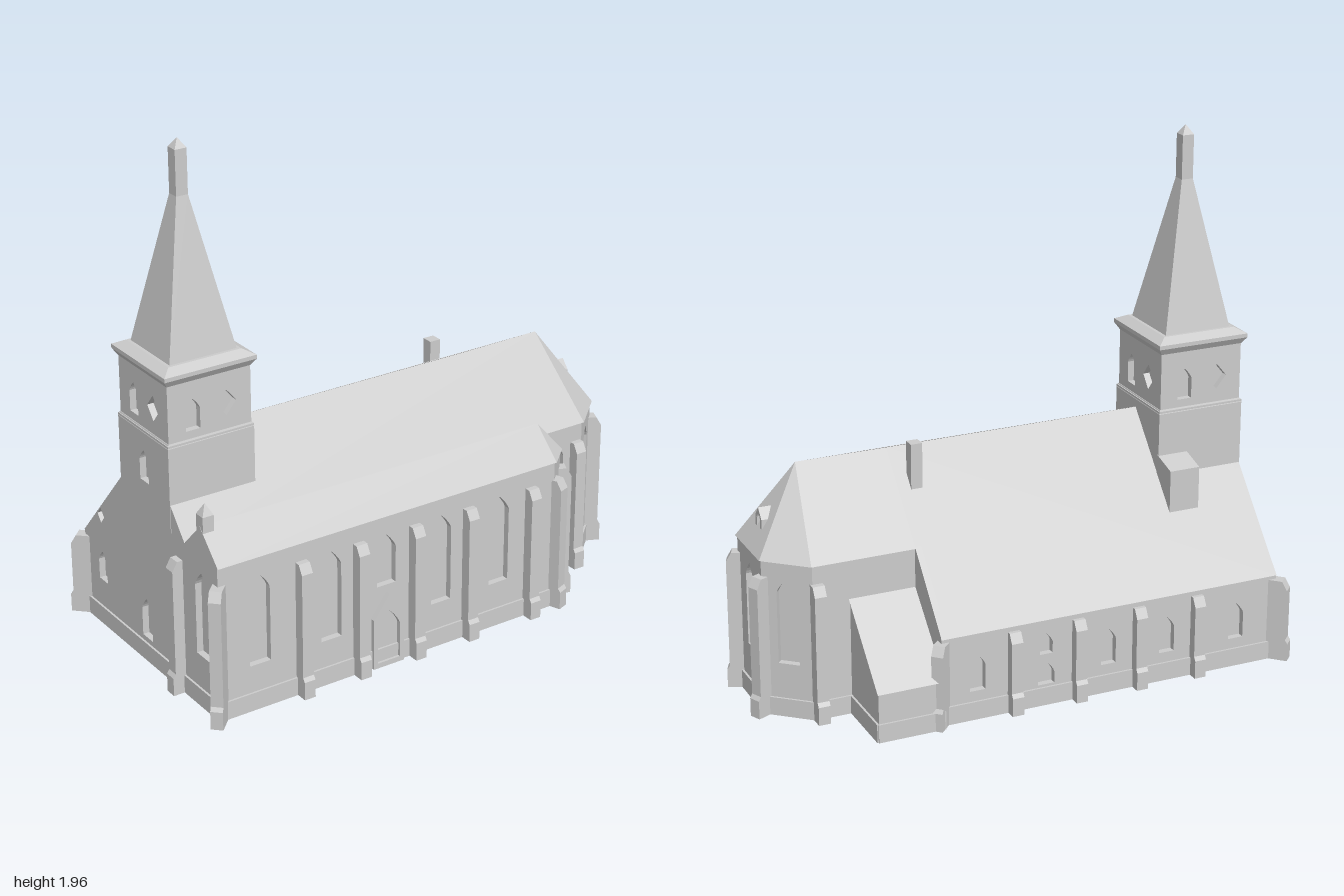
import * as THREE from 'three';

const stone = new THREE.MeshStandardMaterial({ color: 0xcccccc, flatShading: true, side: THREE.DoubleSide });
stone.name = 'pale stone';

// Pointed arch opening, or a diamond
function opening([u, y0, y1, w, kind]) {
  const p = new THREE.Path(), h = w / 2;
  if (kind === 'diamond') {
    const m = (y0 + y1) / 2;
    p.moveTo(u, y0).lineTo(u + h, m).lineTo(u, y1).lineTo(u - h, m).lineTo(u, y0);
    return p;
  }
  const spring = y1 - w * 0.7;
  p.moveTo(u - h, y0).lineTo(u + h, y0).lineTo(u + h, spring);
  p.quadraticCurveTo(u + h * 0.8, spring + w * 0.3, u, y1);
  p.quadraticCurveTo(u - h * 0.8, spring + w * 0.3, u - h, spring);
  p.lineTo(u - h, y0);
  return p;
}

export function createModel() {
  const model = new THREE.Group();
  model.name = 'church';

  const add = (name, geometry, parent = model) => {
    const mesh = new THREE.Mesh(geometry, stone);
    mesh.name = name;
    parent.add(mesh);
    return mesh;
  };

  // Wall from a to b (left to right seen from outside) with recessed openings
  function wall(name, a, b, { h = 0.6, y0 = 0, top, holes = [], t = 0.025, plinth = y0 === 0 } = {}) {
    const ux = b[0] - a[0], uz = b[1] - a[1], len = Math.hypot(ux, uz);
    const outline = [[0, y0], [len, y0], ...(top || [[len, h], [0, h]])].map(p => new THREE.Vector2(...p));
    const g = new THREE.Group();
    g.name = name;
    g.position.set(a[0], 0, a[1]);
    g.rotation.y = Math.atan2(-uz, ux);
    const shape = new THREE.Shape(outline);
    shape.holes = holes.map(opening);
    const geo = new THREE.ExtrudeGeometry(shape, { depth: t, bevelEnabled: false, curveSegments: 4 });
    add(name + 'Face', geo.translate(0, 0, -t), g);
    if (holes.length) add(name + 'Panes', new THREE.ShapeGeometry(new THREE.Shape(outline)).translate(0, 0, -t), g);
    if (plinth) add(name + 'Plinth', new THREE.BoxGeometry(len + 0.006, 0.07, 0.016).translate(len / 2, 0.035, 0), g);
    model.add(g);
  }

  // Flat polygons, each a fan of corners
  function faces(name, polygons) {
    const pos = [];
    for (const p of polygons)
      for (let i = 1; i < p.length - 1; i++) pos.push(...p[0], ...p[i], ...p[i + 1]);
    const geo = new THREE.BufferGeometry();
    geo.setAttribute('position', new THREE.Float32BufferAttribute(pos, 3));
    geo.computeVertexNormals();
    add(name, geo);
  }

  // Buttress with stepped foot and sloping cap, pointing along (dx, dz)
  function buttress(x, z, dx, dz, h = 0.525, d = 0.042) {
    const s = new THREE.Shape([[-0.03, 0], [d + 0.01, 0], [d + 0.01, 0.07], [d, 0.085], [d, h - 0.035], [d - 0.02, h], [-0.03, h]]
      .map(p => new THREE.Vector2(...p)));
    const m = add('buttress', new THREE.ExtrudeGeometry(s, { depth: 0.045, bevelEnabled: false }).translate(0, 0, -0.0225));
    m.position.set(x, 0, z);
    m.rotation.y = Math.atan2(-dz, dx);
  }

  // Square tapering block by half widths
  function taper(name, x, z, y0, y1, w0, w1) {
    const g = new THREE.CylinderGeometry(w1 * Math.SQRT2, w0 * Math.SQRT2, y1 - y0, 4).rotateY(Math.PI / 4);
    add(name, g).position.set(x, (y0 + y1) / 2, z);
  }

  // Nave walls
  const W = -0.945;
  wall('naveBackWall', [0.41, -0.48], [W, -0.48], {
    h: 0.34,
    holes: [
      ...[0.27, -0.25, -0.49, -0.78].map(x => [0.41 - x, 0.11, 0.25, 0.06]),
      [0.41, 0.08, 0.17, 0.065], [0.41, 0.2, 0.28, 0.05],
    ],
  });
  wall('naveEndWall', [W, -0.48], [W, 0.255], {
    top: [[0.735, 0.6], [0.645, 0.707], [0.3, 0.677], [0, 0.34]],
    holes: [[0.13, 0.18, 0.3, 0.06], [0.13, 0.42, 0.48, 0.05, 'diamond'], [0.45, 0.09, 0.25, 0.07]],
  });
  wall('naveStepWall', [0.41, -0.25], [0.41, -0.48], { top: [[0.23, 0.34], [0, 0.6]] });

  // Choir and its three-sided end
  const tall = u => [[u, 0.205, 0.535, 0.08]];
  wall('choirFrontWall', [0.45, 0.255], [0.8, 0.255], { holes: tall(0.225) });
  wall('apseFrontWall', [0.8, 0.255], [0.945, 0.125], { holes: tall(0.097) });
  wall('apseEndWall', [0.945, 0.125], [0.945, -0.125], { holes: tall(0.125) });
  wall('apseBackWall', [0.945, -0.125], [0.8, -0.25], { holes: tall(0.096) });
  wall('choirBackWall', [0.8, -0.25], [0.41, -0.25]);

  // Side aisle
  wall('aisleEndWall', [W, 0.255], [W, 0.47], {
    top: [[0.215, 0.6], [0.107, 0.71], [0, 0.6]], holes: [[0.107, 0.2, 0.53, 0.085]],
  });
  wall('aisleFrontWall', [W, 0.47], [0.5, 0.47], {
    holes: [...[-0.78, -0.485, -0.01, 0.25].map(x => [x - W, 0.175, 0.525, 0.085]), [-0.25 - W, 0.32, 0.52, 0.08]],
  });
  wall('aisleApseFront', [0.5, 0.47], [0.585, 0.395], { holes: [[0.057, 0.2, 0.5, 0.05]] });
  wall('aisleApseEnd', [0.585, 0.395], [0.585, 0.315], { holes: [[0.04, 0.2, 0.49, 0.05]] });
  wall('aisleApseBack', [0.585, 0.315], [0.5, 0.255]);
  wall('doorSurround', [-0.315, 0.488], [-0.185, 0.488], {
    top: [[0.13, 0.2], [0.065, 0.29], [0, 0.2]], holes: [[0.065, 0.02, 0.225, 0.095]], t: 0.03, plinth: false,
  });

  // Lean-to annex
  wall('annexEndWall', [0.66, -0.25], [0.66, -0.505], { top: [[0.255, 0.19], [0, 0.44]] });
  wall('annexBackWall', [0.66, -0.505], [0.41, -0.505], { h: 0.19 });
  wall('annexSideWall', [0.41, -0.505], [0.41, -0.25], { top: [[0.255, 0.44], [0, 0.19]], plinth: false });

  // Roofs
  const r0 = [W, 0.89, 0.01], r1 = [0.76, 0.89, 0.005];
  const e = [[0.805, 0.595, 0.262], [0.952, 0.595, 0.128], [0.952, 0.595, -0.128], [0.805, 0.595, -0.258]];
  faces('mainRoof', [
    [[W, 0.595, 0.262], e[0], r1, r0],
    [e[0], e[1], r1], [e[1], e[2], r1], [e[2], e[3], r1],
    [e[3], [0.41, 0.595, -0.258], [0.41, 0.89, 0.01], r1],
    [[0.41, 0.89, 0.01], [0.41, 0.335, -0.485], [W, 0.335, -0.485], r0],
  ]);
  const a1 = [0.5, 0.71, 0.362];
  const f = [[0.505, 0.595, 0.476], [0.592, 0.595, 0.398], [0.592, 0.595, 0.312], [0.505, 0.595, 0.25]];
  faces('aisleRoof', [
    [[W, 0.595, 0.476], f[0], a1, [W, 0.71, 0.362]],
    [f[0], f[1], a1], [f[1], f[2], a1], [f[2], f[3], a1],
    [f[3], [W, 0.595, 0.25], [W, 0.71, 0.362], a1],
  ]);
  faces('annexRoof', [[[0.41, 0.185, -0.512], [0.41, 0.445, -0.25], [0.665, 0.445, -0.25], [0.665, 0.185, -0.512]]]);

  // Underside
  faces('floor', [
    [[W, 0, -0.48], [0.41, 0, -0.48], [0.41, 0, 0.255], [W, 0, 0.255]],
    [[0.41, 0, -0.25], [0.8, 0, -0.25], [0.945, 0, -0.125], [0.945, 0, 0.125], [0.8, 0, 0.255], [0.41, 0, 0.255]],
    [[W, 0, 0.255], [0.5, 0, 0.255], [0.585, 0, 0.315], [0.585, 0, 0.395], [0.5, 0, 0.47], [W, 0, 0.47]],
    [[0.41, 0, -0.505], [0.66, 0, -0.505], [0.66, 0, -0.25], [0.41, 0, -0.25]],
  ]);

  // Buttresses
  for (const x of [-0.61, -0.37, -0.13, 0.107, 0.39]) buttress(x, 0.47, 0, 1);
  for (const x of [-0.61, -0.37, -0.125, 0.13]) buttress(x, -0.48, 0, -1, 0.315, 0.035);
  buttress(W, 0.47, -1, 1, 0.525, 0.05);
  buttress(W, -0.48, -1, -1, 0.32, 0.05);
  buttress(0.41, -0.48, 1, -1, 0.32, 0.04);
  buttress(W, 0.215, -1, 0);
  buttress(0.51, 0.462, 0.35, 0.94);
  buttress(0.585, 0.395, 0.9, 0.42);
  buttress(0.77, 0.255, 0, 1);
  buttress(0.785, -0.25, 0, -1);
  for (const s of [1, -1]) buttress(0.945, s * 0.125, 0.91, s * 0.41, 0.535);

  // Tower stages, one wall per side
  const cx = -0.774, cz = -0.006;
  for (let i = 0; i < 4; i++) {
    const c = Math.round(Math.cos(i * Math.PI / 2)), s = Math.round(Math.sin(i * Math.PI / 2));
    const at = (x, z) => [cx + x * c + z * s, cz - x * s + z * c];
    const lo = 0.173, up = 0.166;
    wall('towerLowerWall', at(-lo, lo), at(lo, lo), { y0: 0.6, h: 0.93, holes: i === 3 ? [[lo, 0.73, 0.85, 0.06]] : [] });
    wall('towerUpperWall', at(-up, up), at(up, up), {
      y0: 0.93, h: 1.17,
      holes: [[up - 0.067, 0.965, 1.082, 0.057], [up + 0.067, 0.985, 1.082, 0.08, 'diamond']],
    });
  }
  taper('towerLedge', cx, cz, 0.92, 0.935, 0.174, 0.168);
  taper('towerCorniceLower', cx, cz, 1.15, 1.175, 0.167, 0.183);
  taper('towerCorniceBand', cx, cz, 1.175, 1.19, 0.183, 0.183);
  taper('towerCorniceSlope', cx, cz, 1.19, 1.21, 0.183, 0.145);
  taper('spire', cx, cz, 1.205, 1.76, 0.134, 0.023);
  taper('spireShaft', cx, cz, 1.76, 1.925, 0.023, 0.023);
  taper('spireTip', cx, cz, 1.925, 1.958, 0.023, 0.001);

  // Roof details
  taper('chimney', 0.34, -0.085, 0.72, 0.93, 0.022, 0.022);
  taper('pinnacleShaft', -0.922, 0.36, 0.66, 0.75, 0.022, 0.022);
  taper('pinnacleTip', -0.922, 0.36, 0.75, 0.79, 0.022, 0.001);
  wall('stairDormer', [-0.6, -0.17], [-0.6, -0.277], { y0: 0.5, top: [[0.107, 0.73], [0, 0.76]], t: 0.12 });
  wall('apseDormer', [0.905, 0.032], [0.905, -0.032], {
    y0: 0.64, top: [[0.064, 0.705], [0.032, 0.742], [0, 0.705]], holes: [[0.032, 0.665, 0.725, 0.034]], t: 0.06,
  });

  return model;
}
